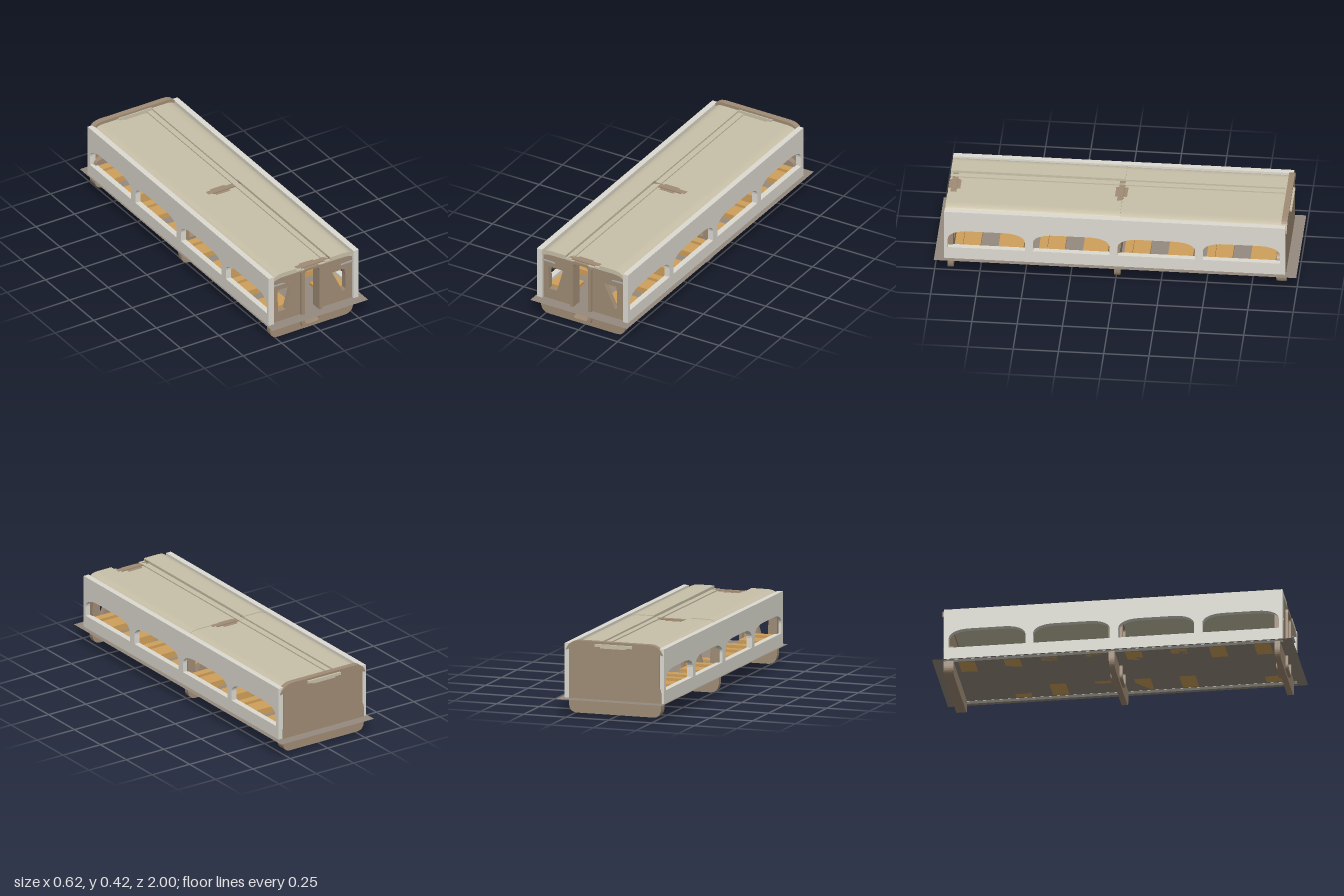
import * as THREE from 'three';

const mat = (color, side = THREE.FrontSide) => new THREE.MeshStandardMaterial({ color, side });
const brown = mat(0xa08c76), wallMat = mat(0xdcdad0), roofMat = mat(0xc8c0a8);
const seatMat = mat(0xcfa05a), rackMat = mat(0xa4a8ac), floorMat = mat(0x968a7e, THREE.DoubleSide);
const CX = -0.013; // centre line of the door and roof channel

function roundRect(x0, x1, y0, y1, r, Type = THREE.Shape) {
  const s = new Type();
  s.moveTo(x0 + r, y0);
  s.lineTo(x1 - r, y0);
  s.quadraticCurveTo(x1, y0, x1, y0 + r);
  s.lineTo(x1, y1 - r);
  s.quadraticCurveTo(x1, y1, x1 - r, y1);
  s.lineTo(x0 + r, y1);
  s.quadraticCurveTo(x0, y1, x0, y1 - r);
  s.lineTo(x0, y0 + r);
  s.quadraticCurveTo(x0, y0, x0 + r, y0);
  return s;
}

const polygon = (pts, Type = THREE.Path) => new Type(pts.map(p => new THREE.Vector2(...p)));

// Extrudes a front-facing shape from z0 to z1
function slab(name, shape, z0, z1, material) {
  const geo = new THREE.ExtrudeGeometry(shape, { depth: z1 - z0, bevelEnabled: false, curveSegments: 8 });
  geo.translate(0, 0, z0);
  const mesh = new THREE.Mesh(geo, material);
  mesh.name = name;
  return mesh;
}

function box(name, x0, x1, y0, y1, z0, z1, material) {
  const mesh = new THREE.Mesh(new THREE.BoxGeometry(x1 - x0, y1 - y0, z1 - z0), material);
  mesh.position.set((x0 + x1) / 2, (y0 + y1) / 2, (z0 + z1) / 2);
  mesh.name = name;
  return mesh;
}

// Partition with two windows, a roof channel notch and a framed doorway
function bulkhead(name, z) {
  const g = new THREE.Group();
  g.name = name;
  const s = new THREE.Shape();
  s.moveTo(-0.228, 0);
  s.lineTo(0.2, 0);
  s.quadraticCurveTo(0.256, 0, 0.256, 0.06);
  s.lineTo(0.254, 0.345);
  s.quadraticCurveTo(0.25, 0.403, 0.195, 0.403);
  for (const [x, y] of [[0.1, 0.403], [0.1, 0.394], [-0.118, 0.394], [-0.118, 0.403], [-0.22, 0.403]]) s.lineTo(x, y);
  s.quadraticCurveTo(-0.28, 0.403, -0.283, 0.345);
  s.lineTo(-0.283, 0.06);
  s.quadraticCurveTo(-0.283, 0, -0.228, 0);
  const door = () => roundRect(-0.067, 0.028, 0.032, 0.373, 0.022, THREE.Path);
  s.holes.push(
    door(),
    polygon([[-0.235, 0.298], [-0.142, 0.298], [-0.18, 0.16], [-0.23, 0.16]]),
    polygon([[0.12, 0.298], [0.198, 0.298], [0.205, 0.26], [0.205, 0.17], [0.198, 0.159], [0.188, 0.159]])
  );
  g.add(slab('partition', s, z - 0.016, z + 0.016, brown));
  const frame = roundRect(-0.087, 0.047, 0.017, 0.388, 0.03);
  frame.holes.push(door());
  g.add(slab('doorFrame', frame, z - 0.035, z + 0.032, brown));
  return g;
}

// Side wall drawn along z, with four arched windows
function sideWall(name, x0, x1) {
  const s = polygon([[-0.945, 0.097], [0.935, 0.097], [0.935, 0.402], [-0.945, 0.402]], THREE.Shape);
  for (const [a, b] of [[-0.925, -0.5], [-0.455, -0.033], [0.012, 0.44], [0.482, 0.908]]) {
    const h = new THREE.Path();
    h.moveTo(a, 0.17);
    h.lineTo(b, 0.17);
    h.lineTo(b, 0.225);
    h.bezierCurveTo(b, 0.255, b - 0.04, 0.28, b - 0.12, 0.28);
    h.lineTo(a + 0.12, 0.28);
    h.bezierCurveTo(a + 0.04, 0.28, a, 0.255, a, 0.225);
    h.lineTo(a, 0.17);
    s.holes.push(h);
  }
  const mesh = slab(name, s, 0, x1 - x0, wallMat);
  mesh.rotation.y = Math.PI / 2; // shape x runs towards -z
  mesh.position.x = x0;
  return mesh;
}

// Roof section with rounded eaves and a two-step central channel
function roof(name, z0, z1, top) {
  const s = new THREE.Shape();
  s.moveTo(-0.267, 0.365);
  s.quadraticCurveTo(-0.255, 0.382, -0.2, 0.383);
  s.lineTo(0.18, 0.383);
  s.quadraticCurveTo(0.235, 0.382, 0.25, 0.365);
  s.lineTo(0.25, 0.385);
  s.quadraticCurveTo(0.235, top, 0.185, top);
  for (const [x, y] of [[0.1, top], [0.1, 0.394], [0.068, 0.394], [0.068, 0.387],
    [-0.083, 0.387], [-0.083, 0.394], [-0.118, 0.394], [-0.118, top], [-0.21, top]]) s.lineTo(x, y);
  s.quadraticCurveTo(-0.255, top, -0.267, 0.385);
  return slab(name, s, z0, z1, roofMat);
}

// Bench with a stepped rear edge and a plinth
function bench(x0, x1, z, dir) {
  const g = new THREE.Group();
  g.name = 'bench';
  g.add(box('seat', x0, x1, 0.135, 0.152, -0.07, 0.07, seatMat));
  g.add(box('seatStep', x0, x1, 0.152, 0.168, -0.07, -0.025, seatMat));
  g.add(box('plinth', x0 + 0.01, x1 - 0.01, 0.098, 0.135, -0.05, 0.04, seatMat));
  g.position.z = z;
  g.scale.z = dir;
  return g;
}

export function createModel() {
  const model = new THREE.Group();
  model.name = 'railCarriage';

  // Thin floor sheet
  const floor = new THREE.Mesh(new THREE.PlaneGeometry(0.62, 2), floorMat);
  floor.rotation.x = -Math.PI / 2;
  floor.position.y = 0.098;
  floor.name = 'floor';
  model.add(floor);

  model.add(sideWall('rightWall', -0.3, -0.267), sideWall('leftWall', 0.25, 0.283));
  model.add(bulkhead('frontBulkhead', 0.914), bulkhead('middleBulkhead', -0.006));
  model.add(roof('frontRoof', -0.02, 0.943, 0.409), roof('rearRoof', -0.925, -0.02, 0.404));

  // Closed rear end: foot, wall and arched hood
  const foot = roundRect(-0.283, 0.256, 0.018, 0.2, 0.05);
  model.add(slab('rearFoot', foot, -0.94, -0.885, brown));
  model.add(box('rearWall', -0.275, 0.255, 0.098, 0.385, -0.94, -0.918, brown));
  const hood = new THREE.Shape();
  hood.moveTo(-0.292, 0.365);
  hood.lineTo(-0.267, 0.375);
  hood.lineTo(0.25, 0.375);
  hood.lineTo(0.275, 0.365);
  hood.quadraticCurveTo(0.255, 0.422, 0.195, 0.422);
  hood.lineTo(-0.215, 0.422);
  hood.quadraticCurveTo(-0.275, 0.422, -0.292, 0.365);
  model.add(slab('rearHood', hood, -0.945, -0.912, brown));

  // Stepped plug closing the roof channel
  const plug = polygon([[-0.118, 0.41], [-0.118, 0.395], [-0.082, 0.395], [-0.082, 0.388],
    [0.068, 0.388], [0.068, 0.395], [0.1, 0.395], [0.1, 0.41]], THREE.Shape);
  model.add(slab('channelPlug', plug, -0.957, -0.905, roofMat));

  // Luggage racks and benches on both sides of the aisle
  for (const side of [-1, 1]) {
    const wallX = side < 0 ? -0.268 : 0.251;
    const tipX = side < 0 ? -0.19 : 0.173;
    const rack = polygon(side < 0
      ? [[wallX, 0.331], [tipX, 0.331], [tipX, 0.334], [-0.21, 0.337], [wallX, 0.338]]
      : [[tipX, 0.331], [wallX, 0.331], [wallX, 0.338], [0.193, 0.337], [tipX, 0.334]], THREE.Shape);
    model.add(slab('luggageRack', rack, -0.915, 0.938, rackMat));
    const inner = CX + side * 0.1;
    for (const bay of [0.7, 0.235, -0.235, -0.69]) {
      for (const dir of [-1, 1]) {
        model.add(bench(Math.min(inner, wallX), Math.max(inner, wallX), bay - dir * 0.12, dir));
      }
    }
  }
  return model;
}
